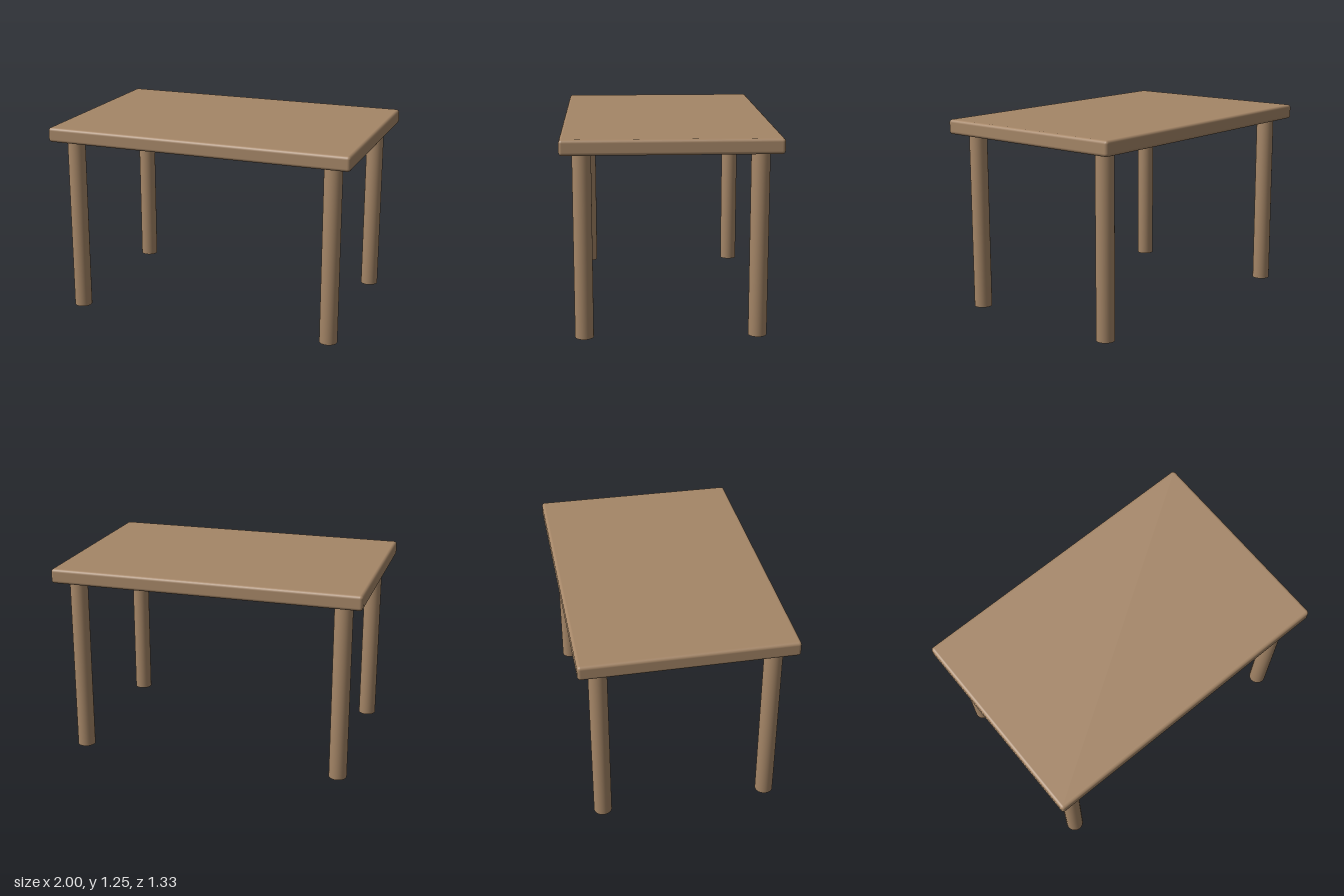
import * as THREE from 'three';
import { RoundedBoxGeometry } from 'three/addons/geometries/RoundedBoxGeometry.js';
import { mergeVertices } from 'three/addons/utils/BufferGeometryUtils.js';

const TOP_Y = 1.25, TOP_THICK = 0.095;
const LEG_RADIUS = 0.0575, LEG_X = 0.866, LEG_Z = 0.535;

// Cylinder whose normals blend softly from the side into the end caps
function softCylinder(radius, height) {
  const geometry = new THREE.CylinderGeometry(radius, radius, height, 32);
  geometry.deleteAttribute('uv');
  geometry.deleteAttribute('normal');
  const merged = mergeVertices(geometry, 1e-4);
  merged.computeVertexNormals();
  return merged;
}

export function createModel() {
  const table = new THREE.Group();
  table.name = 'table';
  const wood = new THREE.MeshStandardMaterial({ color: 0xa58667 });
  wood.name = 'wood';

  // Slab with softened edges
  const top = new THREE.Mesh(new RoundedBoxGeometry(2, TOP_THICK, 1.33, 3, 0.02), wood);
  top.name = 'tableTop';
  top.position.y = TOP_Y - TOP_THICK / 2;
  table.add(top);

  // Four round legs, one near each corner
  const legHeight = TOP_Y - TOP_THICK;
  const legGeometry = softCylinder(LEG_RADIUS, legHeight);
  for (const [xName, sx] of [['Left', 1], ['Right', -1]]) {
    for (const [zName, sz] of [['front', 1], ['back', -1]]) {
      const leg = new THREE.Mesh(legGeometry, wood);
      leg.name = `${zName}${xName}Leg`;
      leg.position.set(sx * LEG_X, legHeight / 2, sz * LEG_Z);
      table.add(leg);
    }
  }
  return table;
}
